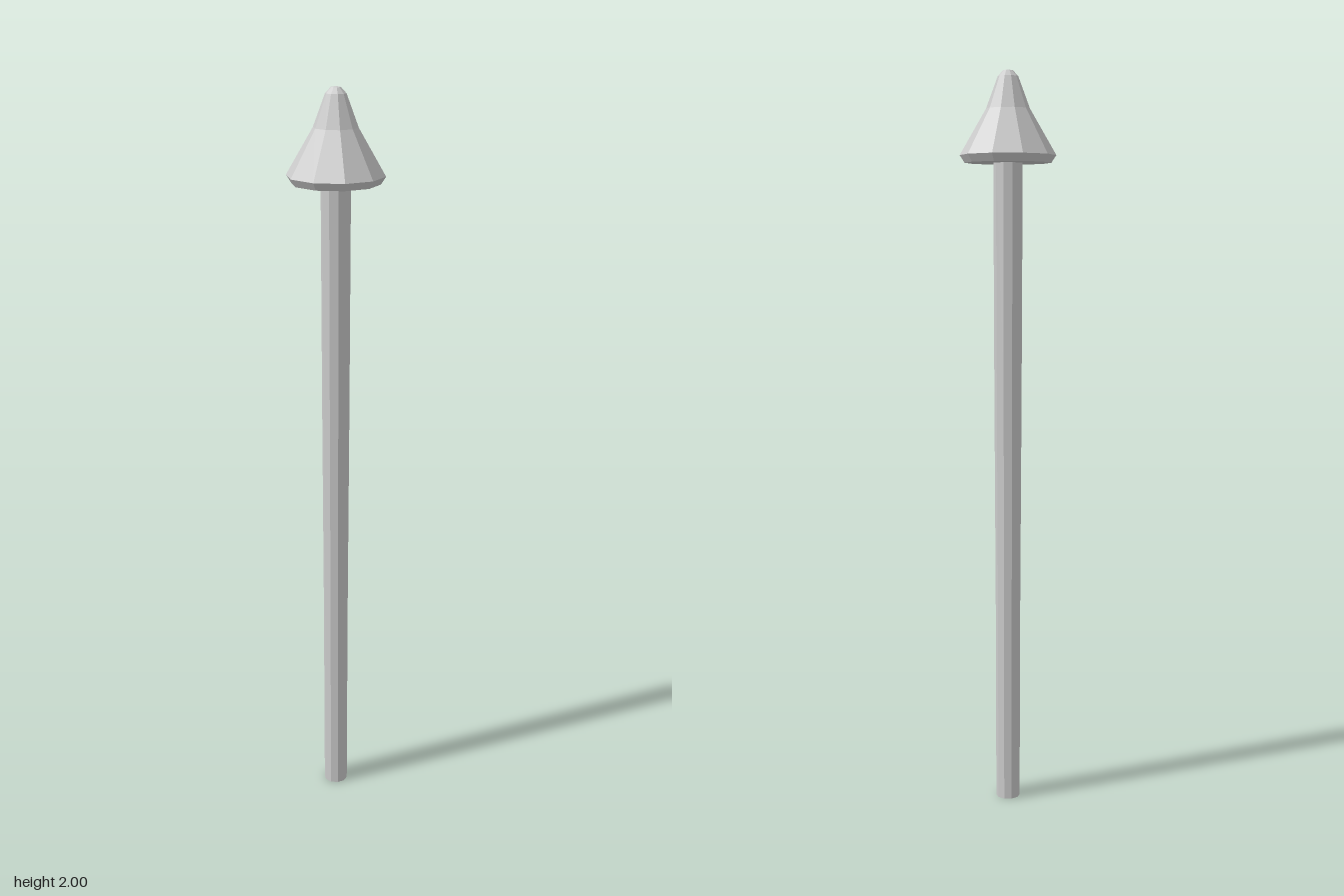
import * as THREE from 'three';

const SIDES = 10;

// Faceted ten-sided turning from [radius, height] pairs, listed bottom to top
function turned(name, profile, side = THREE.FrontSide) {
  const points = profile.map(([r, y]) => new THREE.Vector2(r, y));
  const material = new THREE.MeshStandardMaterial({ color: 0xcccccc, flatShading: true, side });
  // Start a quarter turn round so that a corner points along x
  const mesh = new THREE.Mesh(new THREE.LatheGeometry(points, SIDES, Math.PI / 2), material);
  mesh.name = name;
  return mesh;
}

export function createModel() {
  const model = new THREE.Group();
  model.name = 'spikedPost';

  // Slender shaft, widening slightly upwards and open at the foot
  model.add(turned('shaft', [
    [0.033, 0], [0.034, 0.55], [0.037, 1.15], [0.039, 1.765],
  ], THREE.DoubleSide));

  // Flared pointed head with a bevelled rim, flat underside and blunt tip
  model.add(turned('head', [
    [0, 1.76], [0.115, 1.76], [0.128, 1.78], [0.058, 1.9],
    [0.027, 1.983], [0.013, 1.998], [0, 2],
  ]));

  return model;
}
